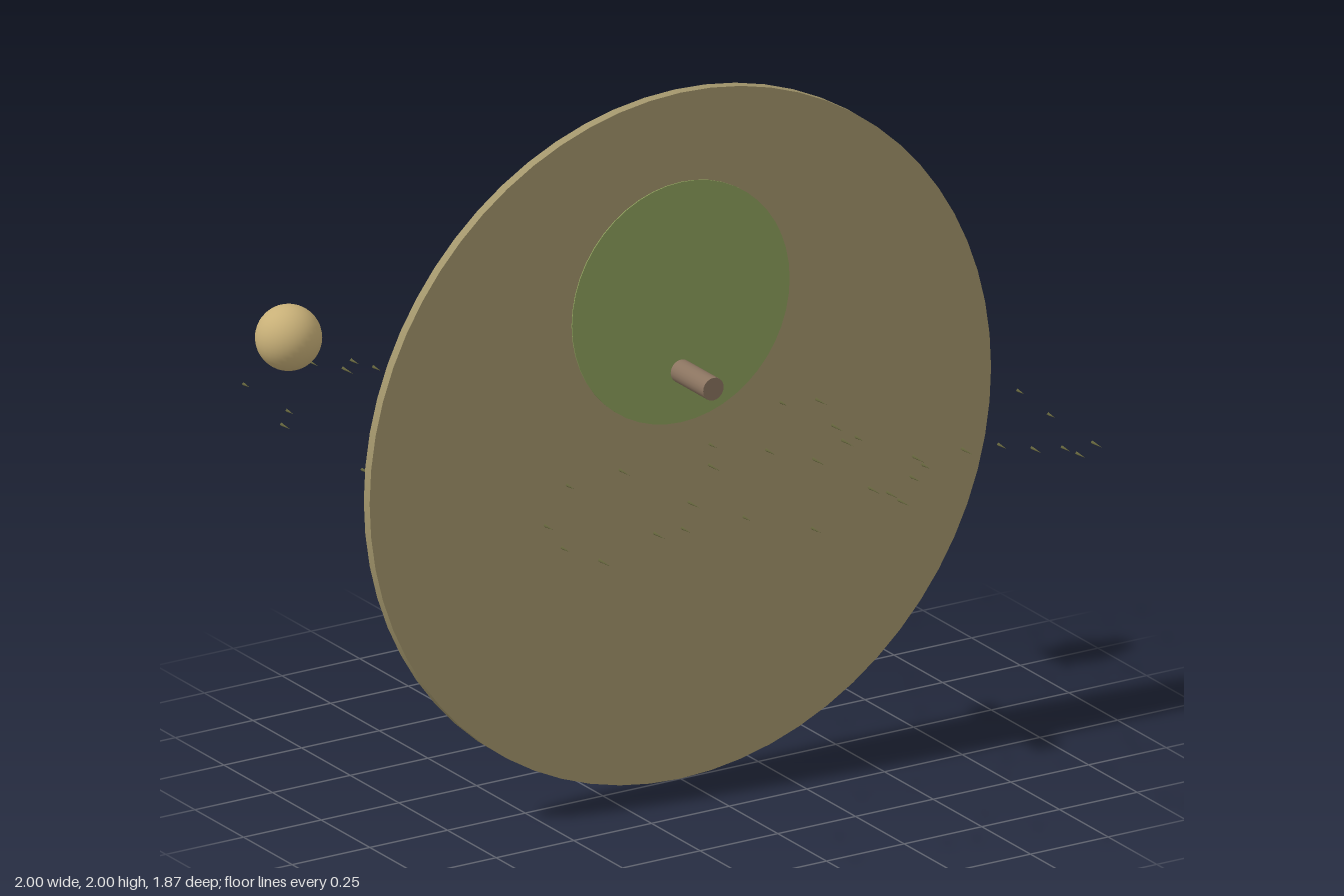
import * as THREE from 'three';

const material = (color) => new THREE.MeshStandardMaterial({ color });

function addMesh(parent, name, geometry, mat, x, y, z) {
  const mesh = new THREE.Mesh(geometry, mat);
  mesh.name = name;
  mesh.position.set(x, y, z);
  parent.add(mesh);
  return mesh;
}

// Cylinder whose axis runs along z
const cylinderZ = (top, bottom, length, sides) =>
  new THREE.CylinderGeometry(top, bottom, length, sides).rotateX(Math.PI / 2);

// Small repeatable number generator
function seeded(seed) {
  return () => (seed = (seed * 16807) % 2147483647) / 2147483647;
}

// Grass blade places as x, z in hundredths
const bladePlaces = [
  -84, -89, -60, -93, -55, -83, -49, -89, -47, -81, -40, -82, -17, -84, -1, -83, 10, -72,
  32, -81, 38, -91, 61, -88, -85, -65, -92, -56, -46, -57, -41, -50, -12, -55, -9, -42,
  5, -39, 10, -47, -49, -32, -24, -26, -63, -18, -53, -13, -41, -10, -39, -10, -92, -14,
  66, -61, 55, -56, 78, -54, 90, -57, 84, -34, 55, -21, 63, -20, 65, -19, 83, -17,
  38, -21, 36, -8, -3, -21, 32, 2, 41, 7, -2, 20, -33, 24, -51, 25, -9, 32,
  9, 32, 35, 25, 32, 35, 35, 36, 92, 28, 90, 47, -73, 49, -30, 55, 17, 44,
  41, 57, 56, 58, 66, 60, 39, 64, -77, 64, -50, 69, -42, 70, -23, 71, 18, 71,
  33, 68, 20, 77, 20, 83, 72, 68, 79, 72, 80, 78, 89, 72, -75, 81, -12, 89,
];

function grassBlades(mat) {
  const grass = new THREE.Group();
  grass.name = 'grass';
  const random = seeded(71);
  for (let i = 0; i < bladePlaces.length; i += 2) {
    const blade = new THREE.ConeGeometry(0.005, 0.03 + random() * 0.03, 4).rotateX(Math.PI / 2);
    addMesh(grass, 'grassBlade', blade, mat, bladePlaces[i] / 100, 1.025 + random() * 0.015, bladePlaces[i + 1] / 100);
  }
  return grass;
}

function grazingAnimal(mat) {
  const animal = new THREE.Group();
  animal.name = 'grazingAnimal';
  animal.position.set(0.54, 1.11, -0.4);
  addMesh(animal, 'body', new THREE.SphereGeometry(1, 24, 16).scale(0.1, 0.069, 0.077), mat, 0, 0, 0);
  addMesh(animal, 'head', new THREE.SphereGeometry(0.042, 20, 14), mat, 0.087, 0.006, 0);
  // Legs lie along z
  for (const x of [-0.045, 0.045]) {
    for (const z of [-0.04, 0.04]) {
      addMesh(animal, 'leg', cylinderZ(0.01, 0.01, 0.075, 10), mat, x, -0.058, z);
    }
  }
  for (const side of [-1, 1]) {
    addMesh(animal, 'ear', new THREE.SphereGeometry(0.012, 10, 8), mat, 0.085, 0.03, side * 0.034);
  }
  return animal;
}

export function createModel() {
  const model = new THREE.Group();
  model.name = 'meadowScene';

  // Upright ground disc with an inset pond disc showing on both faces
  addMesh(model, 'groundDisc', cylinderZ(1, 1, 0.03, 64), material(0xa3966c), 0, 1, -0.016);
  addMesh(model, 'pondDisc', cylinderZ(0.35, 0.35, 0.036, 48), material(0x8da05c), 0, 1.39, -0.016);

  // Log passing through the disc
  addMesh(model, 'log', cylinderZ(0.033, 0.033, 0.37, 20), material(0x8b7460), 0, 1.19, -0.016);

  addMesh(model, 'ball', new THREE.SphereGeometry(0.092, 32, 20), material(0xc8b078), -0.77, 1.19, -0.785);
  model.add(grazingAnimal(material(0x77777b)));
  model.add(grassBlades(material(0x6a6a40)));
  return model;
}
